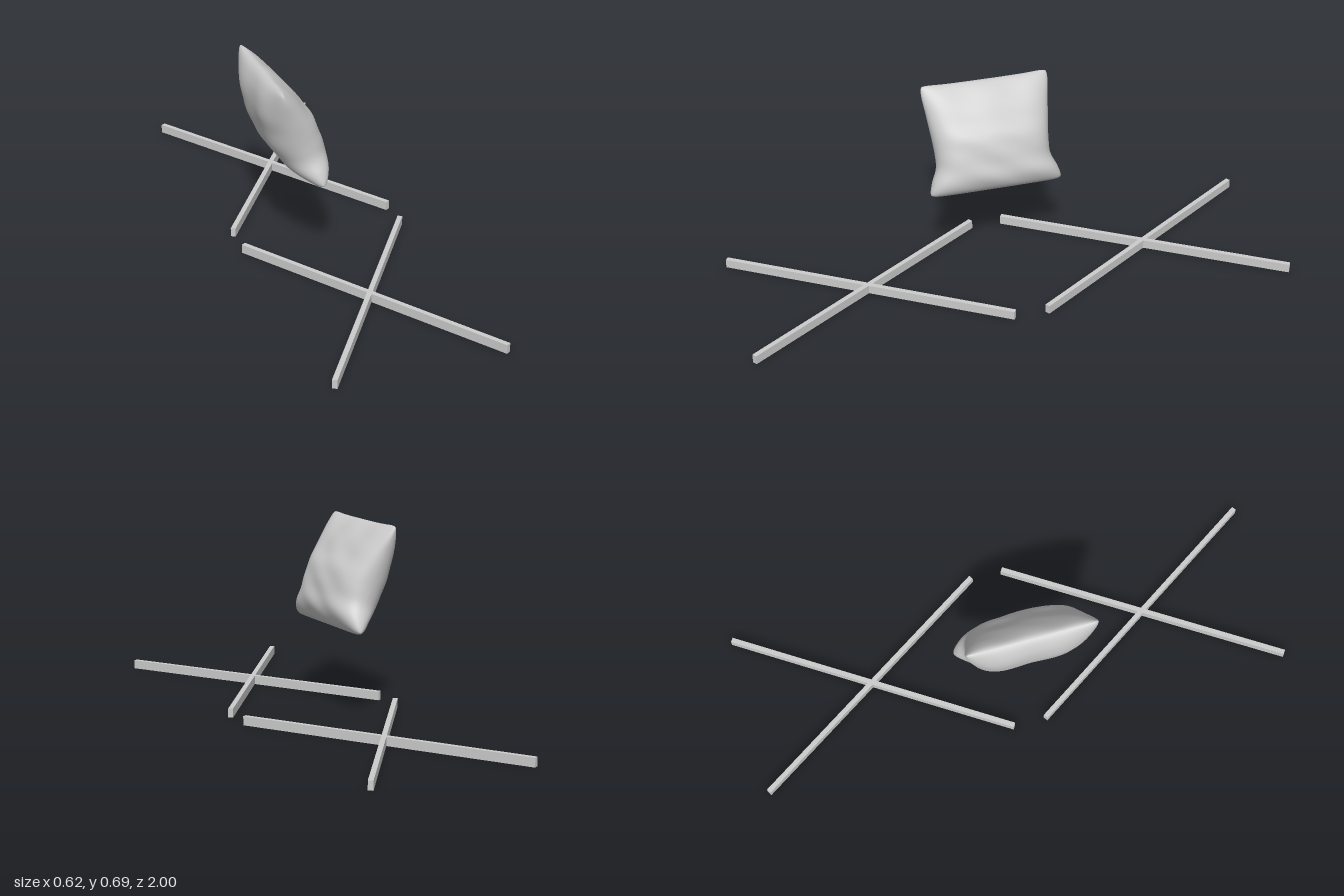
import * as THREE from 'three';

const grey = new THREE.MeshStandardMaterial({ color: 0xcccccc });

// Smooth curve through values spaced evenly from 0 to 1
function profile(values) {
  const curve = new THREE.SplineCurve(values.map((y, i) => new THREE.Vector2(i, y)));
  return t => curve.getPoint(t).y;
}

// All run from the pillow's top edge to its bottom edge
const halfWidth = profile([0.238, 0.235, 0.228, 0.222, 0.216, 0.212, 0.214, 0.236, 0.251]);
const frontDepth = profile([0.036, 0.048, 0.062, 0.074, 0.089, 0.09, 0.086, 0.088, 0.08]);
const backDepth = profile([0.055, 0.069, 0.081, 0.088, 0.094, 0.094, 0.087, 0.076, 0.07]);

const top = new THREE.Vector3(-0.22, 0.698, 0.027);
const bottom = new THREE.Vector3(-0.068, 0.316, 0.022);
const outward = new THREE.Vector3(0.932, 0.363, 0);

// Soft folds: fanning down from the top edge, with sagging creases lower down
function folds(z, t, side) {
  const fan = Math.sin(34 * z * (1 - 0.4 * t) + 1.5 * side) * (1 - t) * 0.003;
  const sag = Math.sin(22 * t + 9 * z * side + 4 * Math.sin(7 * z)) * t * 0.003;
  return fan + sag;
}

// One half of the pillow: a sheet stretched between the seams and bulged out
function pillowPanel(name, side, depth) {
  const geometry = new THREE.PlaneGeometry(2, 2, 56, 48);
  const pos = geometry.attributes.position;
  const p = new THREE.Vector3();
  for (let i = 0; i < pos.count; i++) {
    // Rows and columns gather towards the seam
    const u = Math.sin(pos.getX(i) * Math.PI / 2);
    const v = Math.sin(-pos.getY(i) * Math.PI / 2);
    const t = (v + 1) / 2;
    const bulge = Math.sqrt(Math.max(0, (1 - u ** 4) * (1 - v ** 4)));
    const corner = Math.abs(u * v) ** 14;
    // Seam outline, with blunted corners and a slightly dipped top edge
    const along = t + 0.02 * (1 - u ** 4) * (1 - t) ** 4 - 0.018 * corner * v;
    const z = -side * u * halfWidth(t) * (1 - 0.03 * corner);
    p.lerpVectors(top, bottom, along);
    p.z += z;
    p.addScaledVector(outward, side * bulge * (depth(t) + folds(z, t, side)));
    pos.setXYZ(i, p.x, p.y, p.z);
  }
  geometry.computeVertexNormals();
  const mesh = new THREE.Mesh(geometry, grey);
  mesh.name = name;
  return mesh;
}

export function createModel() {
  const model = new THREE.Group();
  model.name = 'pillowAndCrossedBars';

  // Leaning pillow
  const pillow = new THREE.Group();
  pillow.name = 'pillow';
  pillow.add(pillowPanel('pillowFront', 1, frontDepth), pillowPanel('pillowBack', -1, backDepth));
  model.add(pillow);

  // Two pairs of crossed bars lying on the ground
  const barGeometry = new THREE.BoxGeometry(0.018, 0.033, 1.116);
  for (const [name, z] of [['frontCross', 0.5275], ['backCross', -0.5275]]) {
    const cross = new THREE.Group();
    cross.name = name;
    cross.position.set(0, 0.0165, z);
    for (const turn of [-1, 1]) {
      const bar = new THREE.Mesh(barGeometry, grey);
      bar.name = turn < 0 ? 'barA' : 'barB';
      bar.rotation.y = turn * 0.578;
      cross.add(bar);
    }
    model.add(cross);
  }
  return model;
}
